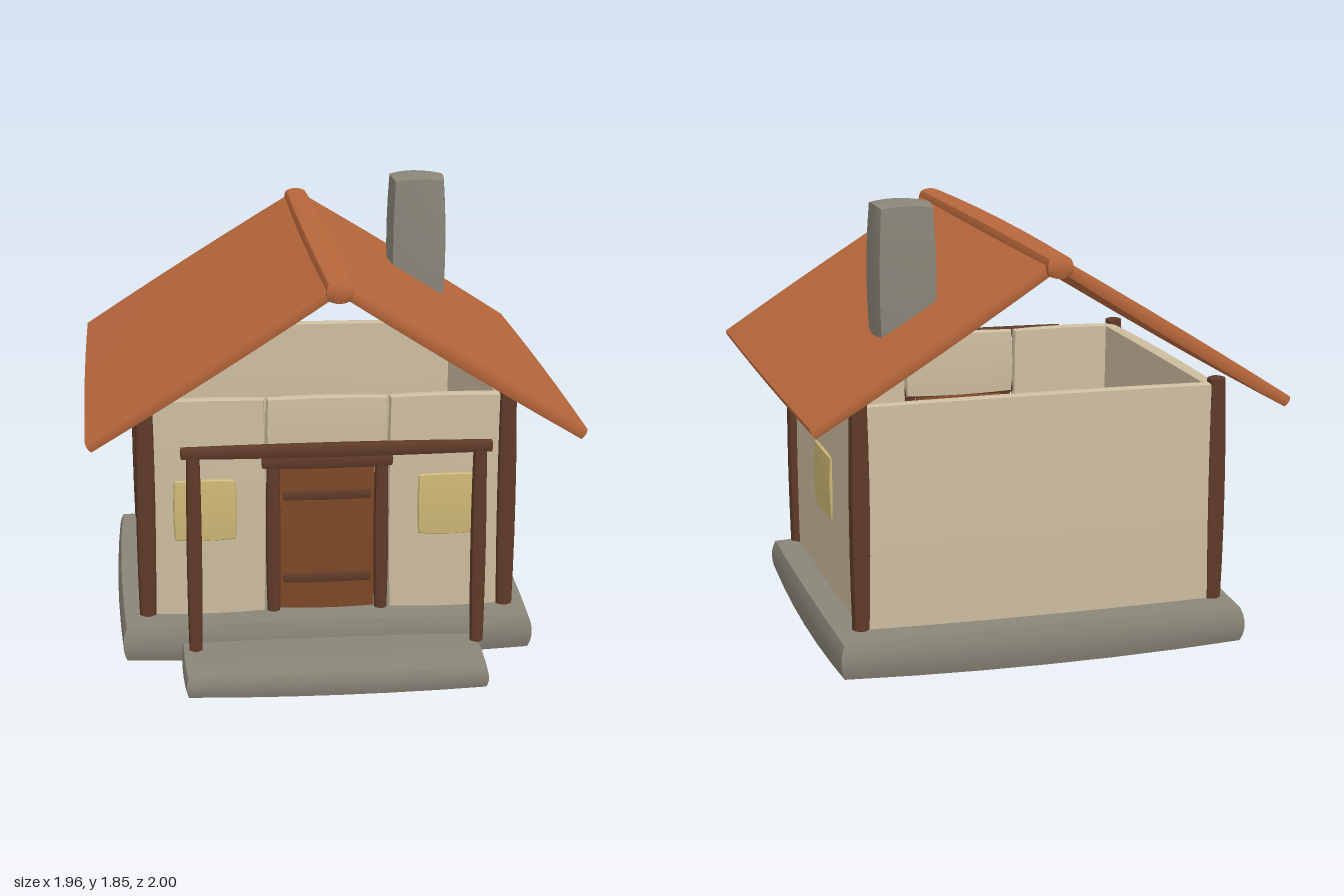
import * as THREE from 'three';

const mat = (name, color) => {
  const m = new THREE.MeshStandardMaterial({ color });
  m.name = name;
  return m;
};

// Hand-hewn block: a box whose faces swell gently towards their middles
function block(w, h, d, bulge = Math.min(w, h, d) * 0.075) {
  const g = new THREE.BoxGeometry(w, h, d, 6, 6, 6);
  const p = g.attributes.position;
  for (let i = 0; i < p.count; i++) {
    const u = p.getX(i) / (w / 2), v = p.getY(i) / (h / 2), t = p.getZ(i) / (d / 2);
    p.setXYZ(i,
      u * (w / 2 - bulge * (v * v + t * t)),
      v * (h / 2 - bulge * (u * u + t * t)),
      t * (d / 2 - bulge * (u * u + v * v)));
  }
  g.computeVertexNormals();
  return g;
}

export function createModel() {
  const house = new THREE.Group();
  house.name = 'cottage';

  const stone = mat('grey stone', 0x8a8578);
  const plaster = mat('cream plaster', 0xcdbd9f);
  const timber = mat('dark timber', 0x5e3a28);
  const doorWood = mat('door wood', 0x7d4827);
  const tile = mat('terracotta roof', 0xb8673b);
  const glass = mat('yellow window', 0xcdb875);

  // Adds a block given its extents along each axis
  const add = (name, material, [x0, x1], [y0, y1], [z0, z1], bulge) => {
    const mesh = new THREE.Mesh(block(x1 - x0, y1 - y0, z1 - z0, bulge), material);
    mesh.position.set((x0 + x1) / 2, (y0 + y1) / 2, (z0 + z1) / 2);
    mesh.name = name;
    house.add(mesh);
    return mesh;
  };
  const around = (c, half) => [c - half, c + half];

  // Stone base and front step
  add('foundation', stone, [-0.86, 0.86], [0, 0.2], [-0.88, 0.63]);
  add('frontStep', stone, [-0.61, 0.61], [0.005, 0.117], [0.54, 1.0]);

  // Back wall and the panel above the door
  add('backWall', plaster, [-0.75, 0.75], [0.19, 1.11], [-0.785, -0.715]);
  add('wallAboveDoor', plaster, [-0.25, 0.25], [0.82, 1.11], [0.46, 0.53]);

  // Mirrored parts
  for (const s of [-1, 1]) {
    const side = s > 0 ? 'left' : 'right';
    add(side + 'Wall', plaster, around(s * 0.715, 0.035), [0.19, 1.11], [-0.77, 0.52]);
    add(side + 'FrontWall', plaster, around(s * 0.5, 0.25), [0.19, 1.11], [0.46, 0.53]);
    add(side + 'SideWindow', glass, around(s * 0.745, 0.02), [0.508, 0.782], [-0.29, 0.04], 0.005);
    add(side + 'FrontWindow', glass, around(s * 0.5, 0.13), [0.513, 0.777], [0.505, 0.545], 0.005);
    add(side + 'FrontCornerPost', timber, around(s * 0.74, 0.04), [0.19, 1.13], [0.47, 0.55]);
    add(side + 'BackCornerPost', timber, around(s * 0.74, 0.04), [0.19, 1.13], [-0.79, -0.71]);
    add(side + 'DoorPost', timber, around(s * 0.222, 0.03), [0.195, 0.83], [0.485, 0.548]);
    add(side + 'PorchPost', timber, around(s * 0.56, 0.03), [0.19, 1.0], [0.878, 0.938]);

    // Sloping roof slab
    const slab = new THREE.Mesh(block(1.135, 0.065, 1.94), tile);
    slab.position.set(s * 0.487, 1.353, 0);
    slab.rotation.z = -s * 0.56;
    slab.name = side + 'RoofSlope';
    house.add(slab);
  }

  // Door with its lintel and cross bars
  add('door', doorWood, [-0.2, 0.2], [0.195, 0.82], [0.465, 0.515]);
  add('doorLintel', timber, [-0.27, 0.27], [0.81, 0.87], [0.48, 0.55]);
  for (const y of [0.335, 0.692])
    add('doorBar', timber, [-0.18, 0.18], around(y, 0.02), [0.5, 0.53]);

  // Porch beam, roof ridge and chimney
  add('porchBeam', timber, [-0.61, 0.61], [0.98, 1.033], [0.878, 0.938]);
  add('roofRidge', tile, [-0.06, 0.06], [1.595, 1.697], [-1, 1], 0.009);
  add('chimney', stone, [0.36, 0.612], [1.22, 1.85], [-0.56, -0.305], 0.011);

  return house;
}
